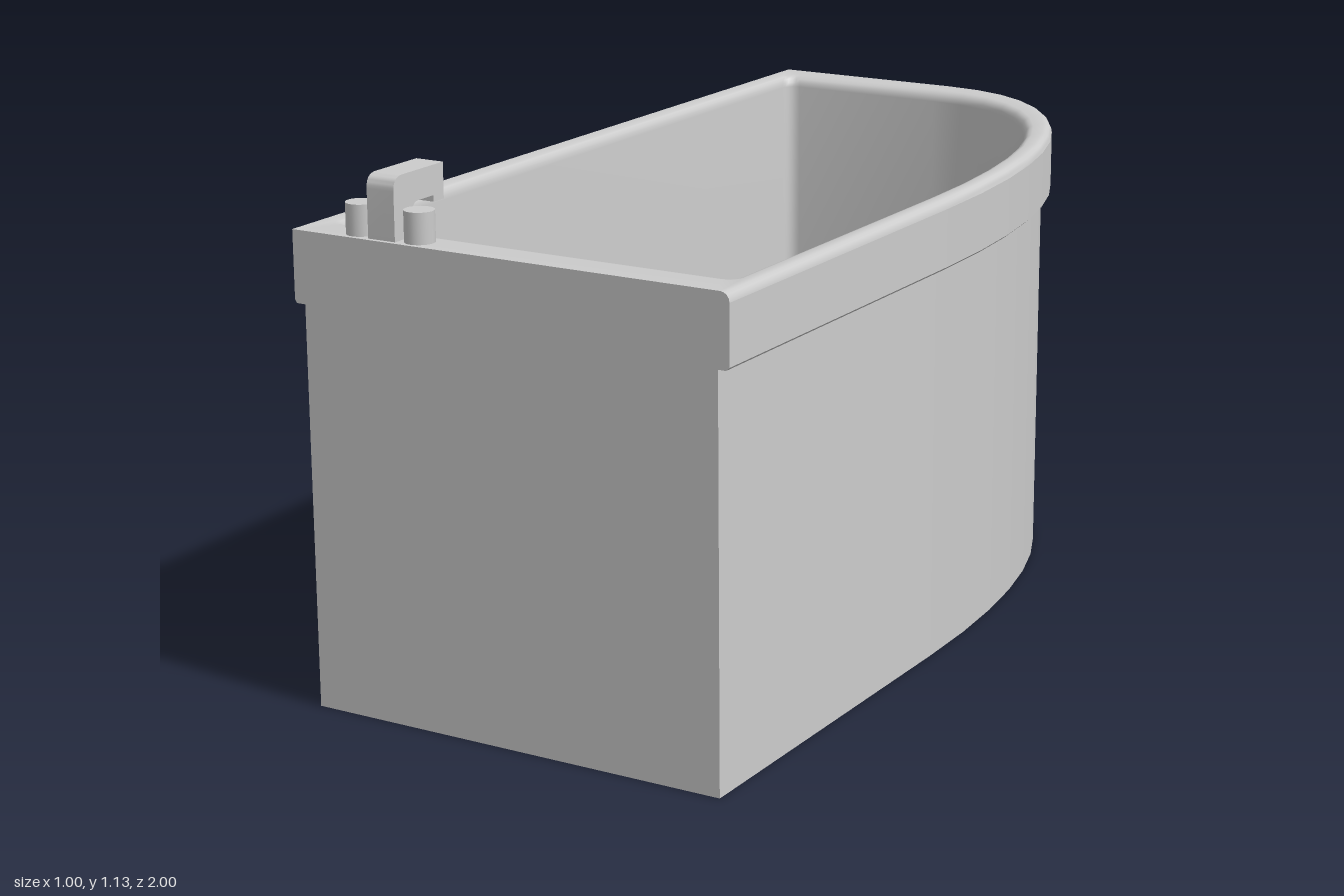
import * as THREE from 'three';
import { toCreasedNormals } from 'three/addons/utils/BufferGeometryUtils.js';

const CURVE_STEPS = 12, CORNER_STEPS = 5;

// Plan outline, counter-clockwise from above: three corners and one long sweeping curve.
// l, r, f, b are the left-hand x, right-hand x, front z and back z limits; c rounds the corners.
function outline(y, l, r, f, b, c = 0) {
  const pts = [];
  const corner = (x, z, start) => {
    for (let i = 0; i <= CORNER_STEPS; i++) {
      const a = start + (i / CORNER_STEPS) * Math.PI / 2;
      pts.push(new THREE.Vector3(x + c * Math.cos(a), y, z - c * Math.sin(a)));
    }
  };
  corner(l + c, f - c, Math.PI);
  corner(r - c, f - c, -Math.PI / 2);
  const z0 = 0.12, x1 = -0.06, h = 0.62;
  const sweep = new THREE.CubicBezierCurve(
    new THREE.Vector2(r, z0), new THREE.Vector2(r, z0 + (b - z0) * h),
    new THREE.Vector2(x1 + (r - x1) * h, b), new THREE.Vector2(x1, b));
  for (const p of sweep.getPoints(CURVE_STEPS)) pts.push(new THREE.Vector3(p.x, y, p.y));
  corner(l + c, b + c, Math.PI / 2);
  return pts;
}

// Skin a list of outlines, with optional flat caps at the first and last.
function loft(rings, capFirst, capLast) {
  const pos = [];
  const tri = (a, b, c) => {
    const area = b.clone().sub(a).cross(c.clone().sub(a)).length();
    if (area > 1e-9) for (const p of [a, b, c]) pos.push(p.x, p.y, p.z);
  };
  const n = rings[0].length;
  for (let k = 0; k < rings.length - 1; k++) {
    for (let i = 0; i < n; i++) {
      const j = (i + 1) % n, lo = rings[k], hi = rings[k + 1];
      tri(lo[i], lo[j], hi[j]);
      tri(lo[i], hi[j], hi[i]);
    }
  }
  const cap = (ring, up) => {
    const mid = new THREE.Vector3(-0.05, ring[0].y, 0.1);
    ring.forEach((p, i) => {
      const q = ring[(i + 1) % n];
      up ? tri(mid, p, q) : tri(mid, q, p);
    });
  };
  if (capFirst) cap(rings[0], false);
  if (capLast) cap(rings[rings.length - 1], true);
  const g = new THREE.BufferGeometry();
  g.setAttribute('position', new THREE.Float32BufferAttribute(pos, 3));
  g.computeVertexNormals();
  return g;
}

export function createModel() {
  const model = new THREE.Group();
  model.name = 'cornerBathtub';
  const smooth = new THREE.MeshStandardMaterial({ color: 0xcccccc });
  const flat = new THREE.MeshStandardMaterial({ color: 0xcccccc, flatShading: true });
  const add = (name, geometry, material, parent = model) => {
    const m = new THREE.Mesh(geometry, material);
    m.name = name;
    parent.add(m);
    return m;
  };

  // Faceted outer shell: panel, then the overhanging rim band
  const round = 0.02;
  add('outerShell', loft([
    outline(0, -0.475, 0.475, 1, -0.985),
    outline(0.85, -0.475, 0.475, 1, -0.985),
    outline(0.85, -0.495, 0.492, 1, -0.993),
    outline(0.857, -0.5, 0.5, 1, -1),
    outline(1 - round, -0.5, 0.5, 1, -1),
  ], true, false), flat);

  // Rounded rim top, inner lip and basin
  const rings = [];
  for (let i = 0; i <= 4; i++) {
    const a = (i / 4) * Math.PI / 2;
    const inset = round * (1 - Math.cos(a));
    rings.push(outline(1 - round + round * Math.sin(a), -0.5, 0.5 - inset, 1, -1 + inset));
  }
  for (let i = 0; i <= 4; i++) {
    const a = (i / 4) * Math.PI / 2;
    const out = 1 - Math.sin(a);
    rings.push(outline(1 - 0.025 * (1 - Math.cos(a)), -0.457 - 0.012 * out,
      0.45 + 0.018 * out, 0.9 + 0.025 * out, -0.907 - 0.025 * out, 0.03));
  }
  rings.push(outline(0.08, -0.457, 0.45, 0.9, -0.907, 0.03));
  add('rimAndBasin', toCreasedNormals(loft(rings, false, true), 0.6), smooth);

  // Tap: two round handles and a hooked spout
  const tap = new THREE.Group();
  tap.name = 'tap';
  model.add(tap);
  for (const x of [-0.36, -0.22]) {
    const knob = add('tapHandle', new THREE.CylinderGeometry(0.031, 0.031, 0.073, 24), smooth, tap);
    knob.position.set(x, 1.0275, 0.96);
  }
  const s = new THREE.Shape();
  s.moveTo(-0.99, 0.99);
  s.lineTo(-0.99, 1.1);
  s.quadraticCurveTo(-0.99, 1.129, -0.96, 1.129);
  s.lineTo(-0.825, 1.129);
  s.lineTo(-0.825, 1.055);
  s.lineTo(-0.86, 1.055);
  s.lineTo(-0.86, 1.068);
  s.lineTo(-0.91, 1.068);
  s.quadraticCurveTo(-0.93, 1.068, -0.93, 1.048);
  s.lineTo(-0.93, 0.99);
  const spout = new THREE.ExtrudeGeometry(s, { depth: 0.064, bevelEnabled: false, curveSegments: 8 });
  spout.rotateY(Math.PI / 2);
  add('spout', toCreasedNormals(spout, 0.6), smooth, tap).position.x = -0.322;

  return model;
}
